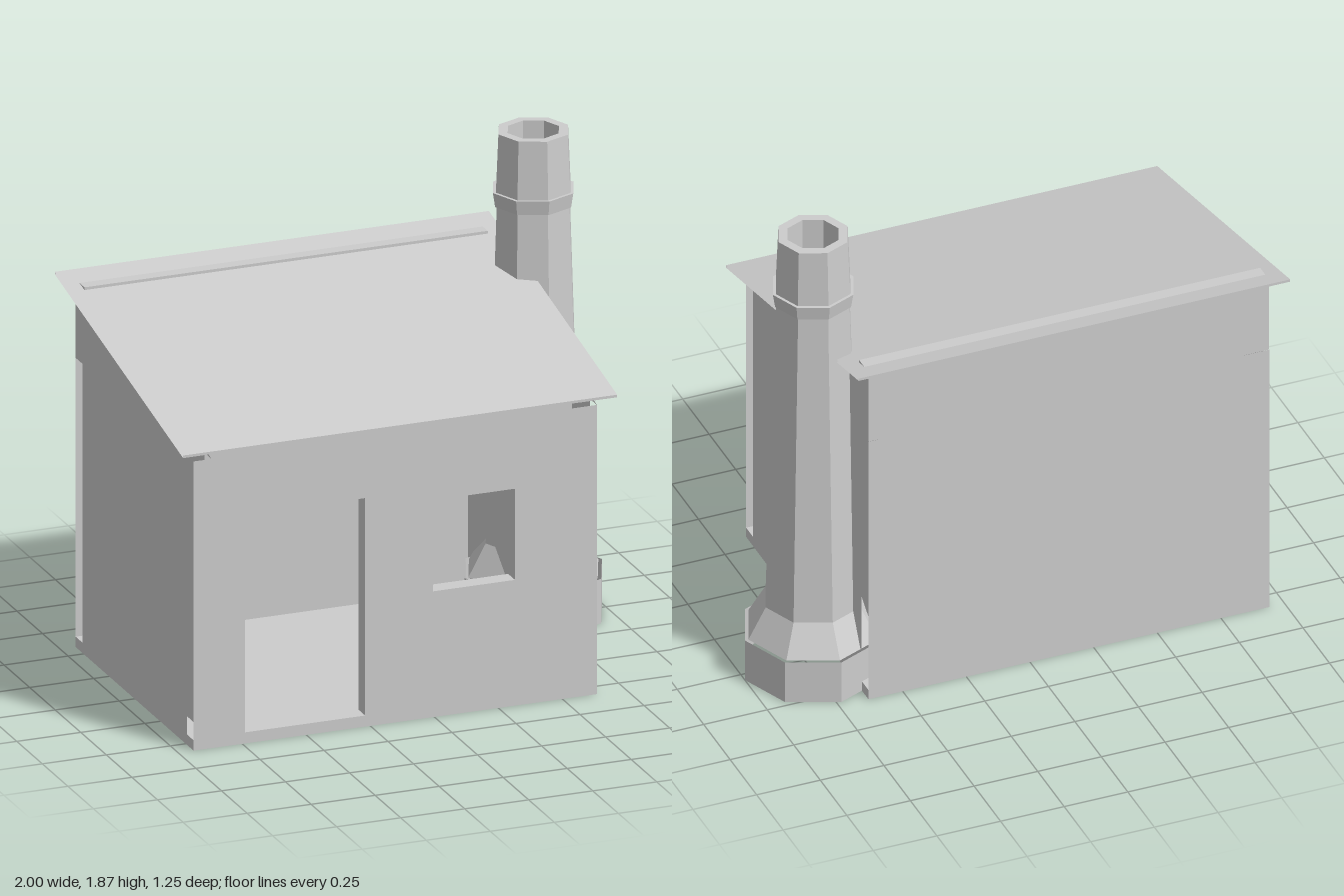
import * as THREE from 'three';

export function createModel() {
  const model = new THREE.Group();
  const grey = new THREE.MeshStandardMaterial({ color: 0xcccccc, side: THREE.DoubleSide, flatShading: true });
  grey.name = 'plain grey';

  const add = (name, geometry, x = 0, y = 0, z = 0) => {
    const mesh = new THREE.Mesh(geometry, grey);
    mesh.name = name;
    mesh.position.set(x, y, z);
    model.add(mesh);
    return mesh;
  };
  const outline = (pts) => new THREE.Shape(pts.map(([x, y]) => new THREE.Vector2(x, y)));
  const rect = (x0, x1, y0, y1) => [[x0, y0], [x1, y0], [x1, y1], [x0, y1]];

  // Main dimensions: outer and inner wall faces, eaves height
  const L = -0.94, R = 0.635, Z = 0.577, ZI = 0.51, T = 0.07, EAVES = 1.12, FLOOR = 0.04;
  const midX = (L + R) / 2, width = R - L;

  // Floor slab
  add('floor', new THREE.BoxGeometry(width, FLOOR, Z * 2), midX, FLOOR / 2, 0);

  // Front wall: two thin skins with a door and a window cut out
  const openings = { door: [-0.74, -0.27, FLOOR + 0.003, 0.885], window: [-0.005, 0.315, 0.487, 0.84] };
  const frontSkin = (x0, x1, y0) => {
    const shape = outline(rect(x0, x1, y0, EAVES));
    for (const o of Object.values(openings)) shape.holes.push(new THREE.Path(outline(rect(...o)).getPoints()));
    return new THREE.ShapeGeometry(shape);
  };
  add('frontWallOuter', frontSkin(L, R, 0), 0, 0, Z);
  add('frontWallInner', frontSkin(L + T, R - T, FLOOR), 0, 0, ZI);

  // Reveals lining the openings
  for (const [name, [x0, x1, y0, y1]] of Object.entries(openings)) {
    const depth = Z - ZI, z = (Z + ZI) / 2;
    for (const x of [x0, x1]) {
      add(name + 'Jamb', new THREE.PlaneGeometry(depth, y1 - y0), x, (y0 + y1) / 2, z).rotation.y = Math.PI / 2;
    }
    for (const y of [y0, y1]) {
      add(name + (y === y0 ? 'Sill' : 'Head'), new THREE.PlaneGeometry(x1 - x0, depth), (x0 + x1) / 2, y, z).rotation.x = -Math.PI / 2;
    }
  }

  // Back wall: two skins below a solid upper beam
  add('backWallOuter', new THREE.PlaneGeometry(width, EAVES), midX, EAVES / 2, -Z).rotation.y = Math.PI;
  add('backWallInner', new THREE.PlaneGeometry(width - 2 * T, EAVES - FLOOR), midX, (EAVES + FLOOR) / 2, -ZI);
  add('backBeam', new THREE.BoxGeometry(width, 0.303, 0.086), midX, EAVES + 0.1515, -0.533);

  // Side walls: sloping skins, inner and outer, drawn with -z along the shape's x
  const sideSkin = (y0) => new THREE.ShapeGeometry(outline(
    [[-ZI, y0], [ZI, y0], [ZI, 1.4], [-Z, EAVES], [-ZI, EAVES]]));
  for (const [name, x, y0] of [['leftWallOuter', R, 0], ['leftWallInner', R - T, FLOOR],
    ['rightWallInner', L + T, FLOOR], ['rightWallOuter', L, 0]]) {
    add(name, sideSkin(y0), x, 0, 0).rotation.y = Math.PI / 2;
  }

  // Sloping roof: upper and lower sheets joined along the front and back edges
  const roofFront = [1.168, 0.625], roofBack = [1.443, -0.63], thick = 0.01;
  const loop = [roofFront, roofBack, [roofBack[0] - thick, roofBack[1]], [roofFront[0] - thick, roofFront[1]]];
  const pos = [];
  loop.forEach(([y0, z0], i) => {
    const [y1, z1] = loop[(i + 1) % 4];
    const a = [-1, y0, z0], b = [0.695, y0, z0], c = [0.695, y1, z1], d = [-1, y1, z1];
    pos.push(...a, ...b, ...c, ...a, ...c, ...d);
  });
  const roof = new THREE.BufferGeometry();
  roof.setAttribute('position', new THREE.Float32BufferAttribute(pos, 3));
  roof.computeVertexNormals();
  add('roof', roof);

  // Octagonal chimney: open base ring, flared foot, tapering shaft, collar and bore
  const octagon = (pts) => {
    const g = new THREE.LatheGeometry(pts.map(([r, y]) => new THREE.Vector2(r, y)), 8).toNonIndexed();
    g.computeVertexNormals();
    return g;
  };
  const CX = 0.732, CZ = -0.288;
  add('chimneyBase', octagon([[0.268, 0], [0.268, 0.172]]), CX, 0, CZ);
  add('chimneyFoot', octagon([[0.254, 0.172], [0.186, 0.295]]), CX, 0, CZ);
  add('chimneyShaft', octagon([[0.186, 0.295], [0.143, 1.592]]), CX, 0, CZ);
  add('chimneyCollar', octagon([[0.143, 1.592], [0.149, 1.592], [0.158, 1.648], [0.146, 1.648]]), CX, 0, CZ);
  add('chimneyTop', octagon([[0.146, 1.648], [0.136, 1.872], [0.1, 1.872]]), CX, 0, CZ);
  add('chimneyBore', octagon([[0.09, 0.3], [0.1, 1.872]].reverse()), CX, 0, CZ);

  return model;
}
